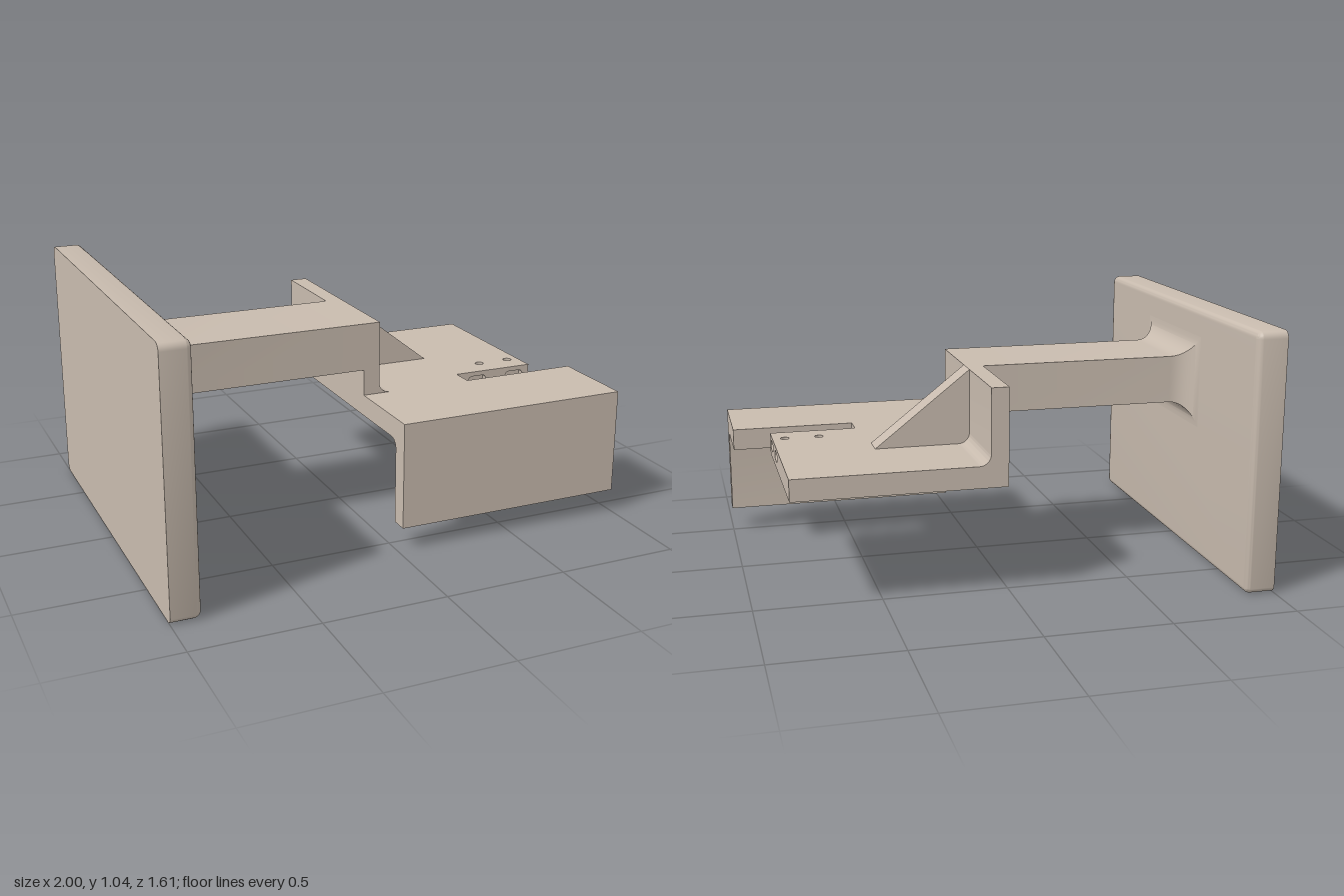
import * as THREE from 'three';
import { toCreasedNormals } from 'three/addons/utils/BufferGeometryUtils.js';

const mat = new THREE.MeshStandardMaterial({ color: 0xc8bbae });
mat.name = 'warm beige';

// Closed outline from corner points
function outline(points) {
  return new THREE.Shape(points.map(([x, y]) => new THREE.Vector2(x, y)));
}

function extrude(shape, depth) {
  return new THREE.ExtrudeGeometry(shape, { depth, bevelEnabled: false, curveSegments: 10 });
}

// Rounded rectangle ring across the x axis
function ring(x, cy, cz, hy, hz, r = 0, n = 0) {
  const pts = [];
  for (let q = 0; q < 4; q++) {
    const sy = q === 0 || q === 3 ? 1 : -1;
    const sz = q < 2 ? 1 : -1;
    for (let i = 0; i <= n; i++) {
      const a = (q + (n ? i / n : 0)) * Math.PI / 2;
      pts.push([x, cy + sy * (hy - r) + r * Math.cos(a), cz + sz * (hz - r) + r * Math.sin(a)]);
    }
  }
  return pts;
}

// Skin rings ordered along +x and close both ends
function loft(rings) {
  const n = rings[0].length, pos = [], idx = [];
  rings.forEach(r => r.forEach(p => pos.push(...p)));
  for (let k = 0; k < rings.length - 1; k++) {
    for (let j = 0; j < n; j++) {
      const a = k * n + j, b = k * n + (j + 1) % n;
      idx.push(a, b, a + n, b, b + n, a + n);
    }
  }
  const last = (rings.length - 1) * n;
  for (let j = 1; j < n - 1; j++) {
    idx.push(0, j + 1, j, last, last + j, last + j + 1);
  }
  const g = new THREE.BufferGeometry();
  g.setAttribute('position', new THREE.Float32BufferAttribute(pos, 3));
  g.setIndex(idx);
  return g;
}

// Horizontal slot with round ends
function slot(cx, cy, length, height) {
  const r = height / 2, h = length / 2 - r, p = new THREE.Path();
  p.absarc(cx + h, cy, r, -Math.PI / 2, Math.PI / 2, false);
  p.absarc(cx - h, cy, r, Math.PI / 2, Math.PI * 1.5, false);
  p.closePath();
  return p;
}

export function createModel() {
  const group = new THREE.Group();
  const add = (name, geometry) => {
    const mesh = new THREE.Mesh(toCreasedNormals(geometry, 0.5), mat);
    mesh.name = name;
    group.add(mesh);
  };
  const STEPS = 8, bottom = 0.445, top = 0.532, thick = top - bottom;

  // Mounting plate, rounded on the side facing the arm
  const plate = [ring(-1, 0.52, 0, 0.52, 0.803, 0.03, 6)];
  for (let i = 0; i <= STEPS; i++) {
    const a = i / STEPS * Math.PI / 2, b = 0.027, inset = b * (1 - Math.cos(a));
    plate.push(ring(-0.88 - b + b * Math.sin(a), 0.52, 0, 0.52 - inset, 0.803 - inset, 0.03 - inset, 6));
  }
  add('mountingPlate', loft(plate));

  // Arm with a flared, mitred root
  const arm = [];
  for (let i = 0; i <= STEPS; i++) {
    const a = i / STEPS * Math.PI / 2, r = 0.093, flare = r * (1 - Math.sin(a));
    arm.push(ring(-0.88 + r * (1 - Math.cos(a)), 0.737, 0.012, 0.0975 + flare, 0.195 + flare));
  }
  arm.push(ring(0.02, 0.737, 0.012, 0.0975, 0.195));
  add('arm', loft(arm));

  // Upright wall with a fillet at its foot
  const wall = new THREE.Shape();
  wall.moveTo(0.02, top);
  wall.lineTo(0.135, top);
  wall.absarc(0.135, top + 0.045, 0.045, -Math.PI / 2, -Math.PI, true);
  wall.lineTo(0.09, 0.8345);
  wall.lineTo(0.02, 0.8345);
  add('uprightWall', extrude(wall, 0.794).translate(0, 0, -0.587));

  // Triangular gusset
  add('gusset', extrude(outline([[0.09, top], [0.475, top], [0.09, 0.8345]]), 0.097).translate(0, 0, -0.239));

  // Shelf with two vertical pin holes, drawn as (x, -z)
  const shelf = outline([[0.02, -0.207], [0.5, -0.207], [0.5, -0.088], [0.827, -0.088], [0.827, 0.587], [0.02, 0.587]]);
  for (const x of [0.665, 0.805]) {
    shelf.holes.push(new THREE.Path().absarc(x, -0.017, 0.018, 0, Math.PI * 2, true));
  }
  add('shelf', extrude(shelf, thick).rotateX(-Math.PI / 2).translate(0, bottom, 0));

  // Slotted end face of the shelf, drawn as (-z, y)
  const end = outline([[-0.088, bottom], [0.587, bottom], [0.587, top], [-0.088, top]]);
  for (const z of [0.043, -0.117]) end.holes.push(slot(-z, 0.494, 0.086, 0.037));
  add('slottedEnd', extrude(end, 0.028).rotateY(Math.PI / 2).translate(0.827, 0, 0));

  // Slotted wall of the notch
  const side = outline([[0.5, bottom], [0.855, bottom], [0.855, top], [0.5, top]]);
  for (const x of [0.6, 0.782]) side.holes.push(slot(x, 0.494, 0.086, 0.037));
  add('slottedNotchWall', extrude(side, 0.028).translate(0, 0, 0.088));

  // Front strip folding down into a lip, drawn as (-z, y)
  const lip = new THREE.Shape();
  lip.moveTo(-0.207, top);
  lip.lineTo(-0.584, top);
  lip.lineTo(-0.584, 0.095);
  lip.lineTo(-0.51, 0.095);
  lip.lineTo(-0.51, bottom - 0.04);
  lip.absarc(-0.47, bottom - 0.04, 0.04, Math.PI, Math.PI / 2, true);
  lip.lineTo(-0.207, bottom);
  add('frontLip', extrude(lip, 0.98).rotateY(Math.PI / 2).translate(0.02, 0, 0));

  return group;
}
